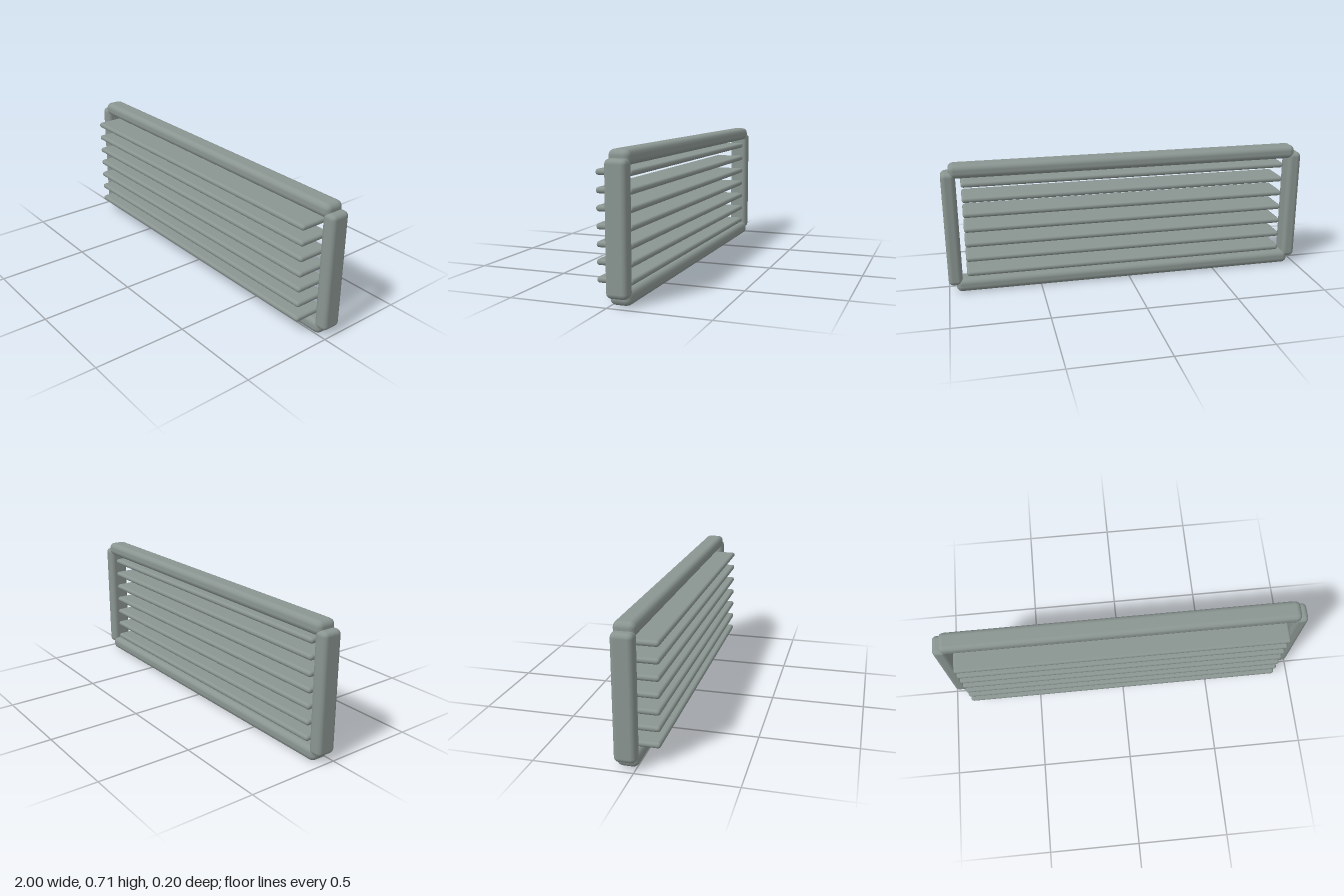
import * as THREE from 'three';
import { RoundedBoxGeometry } from 'three/addons/geometries/RoundedBoxGeometry.js';

export function createModel() {
  const model = new THREE.Group();
  model.name = 'louverVent';

  const metal = new THREE.MeshStandardMaterial({ color: 0x8a9591 });
  metal.name = 'greyGreenMetal';

  // Softly rounded bar, given by its size and centre
  function bar(name, size, centre, radius, parent) {
    const mesh = new THREE.Mesh(new RoundedBoxGeometry(...size, 2, radius), metal);
    mesh.name = name;
    mesh.position.set(...centre);
    parent.add(mesh);
  }

  // Frame: two long rails and two side posts
  const frame = new THREE.Group();
  frame.name = 'frame';
  const frameZ = -0.045;
  const depth = 0.11;
  bar('bottomRail', [1.92, 0.075, depth], [0, 0.0375, frameZ], 0.03, frame);
  bar('topRail', [1.92, 0.075, depth], [0, 0.675, frameZ], 0.03, frame);
  for (const [name, side] of [['leftPost', 1], ['rightPost', -1]]) {
    bar(name, [0.075, 0.632, depth], [side * 0.9625, 0.356, frameZ], 0.025, frame);
  }
  model.add(frame);

  // Seven level slats projecting forward of the frame
  const slats = new THREE.Group();
  slats.name = 'slats';
  const back = -0.085;
  const front = 0.1;
  for (let i = 0; i < 7; i++) {
    bar(`slat${i + 1}`, [1.8, 0.03, front - back],
      [0, 0.098 + i * 0.0837, (front + back) / 2], 0.0145, slats);
  }
  model.add(slats);

  return model;
}
